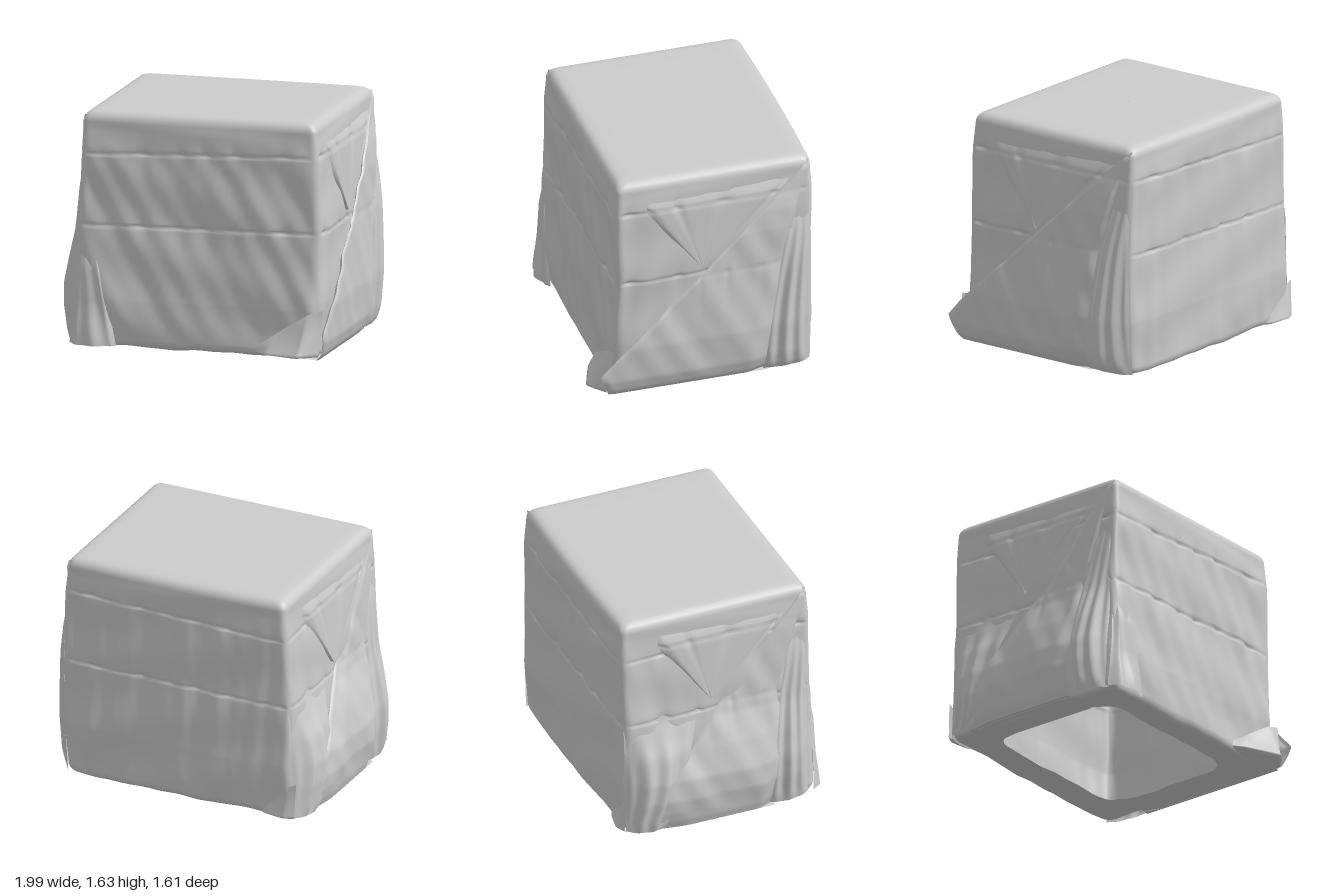
import * as THREE from 'three';

const { sin, exp, abs, min, max, PI } = Math;
const mat = new THREE.MeshStandardMaterial({ color: 0xcccccc, side: THREE.DoubleSide });
const lerp = THREE.MathUtils.lerp;
const step = THREE.MathUtils.smoothstep;

// Piecewise linear lookup in [[key, value], ...]
function at(table, k) {
  if (k <= table[0][0]) return table[0][1];
  for (let i = 1; i < table.length; i++) {
    const [k0, v0] = table[i - 1], [k1, v1] = table[i];
    if (k <= k1) return lerp(v0, v1, (k - k0) / (k1 - k0));
  }
  return table[table.length - 1][1];
}

// Surface from a grid of points fn(u, v); closed wraps u around
function sheet(name, nu, nv, fn, closed = false) {
  const pos = [], idx = [], w = closed ? nu : nu + 1;
  for (let j = 0; j <= nv; j++)
    for (let i = 0; i < w; i++) pos.push(...fn(i / nu, j / nv, i, j));
  for (let j = 0; j < nv; j++)
    for (let i = 0; i < nu; i++) {
      const a = j * w + i, b = j * w + ((i + 1) % w), c = a + w, d = b + w;
      idx.push(a, c, b, b, c, d);
    }
  const g = new THREE.BufferGeometry();
  g.setAttribute('position', new THREE.Float32BufferAttribute(pos, 3));
  g.setIndex(idx);
  g.computeVertexNormals();
  const m = new THREE.Mesh(g, mat);
  m.name = name;
  return m;
}

// Soft irregular cloth ridges
const folds = (w) => 0.5 * sin(w * 9 + 1.3 * sin(w * 4)) + 0.3 * sin(w * 17 + 2 + sin(w * 7)) + 0.2 * sin(w * 31 + 1);

// Two cords cinch the cloth: a tight groove, with gathers fanning out mostly below it
function cinch(a, x, y) {
  let d = 0;
  for (const line of [1.375 + 0.035 * x, 0.865 + 0.015 * x]) {
    const k = y - line;
    const gather = max(0, sin(a * 23 + 2 * sin(a * 5))) ** 3;
    d -= (0.009 + 0.006 * gather) * exp(-((k / 0.008) ** 2)) + 0.014 * gather * exp(-abs(k) / (k < 0 ? 0.13 : 0.05));
  }
  return d;
}

// Cloth body extents by height
const xMax = [[0, 0.87], [0.4, 0.9], [0.9, 0.905], [1.4, 0.88], [1.62, 0.86]];
const xMin = [[0, -0.87], [0.4, -0.845], [0.9, -0.83], [1.35, -0.8], [1.62, -0.785]];
const zMax = [[0, 0.64], [0.35, 0.645], [0.85, 0.625], [1.4, 0.62], [1.62, 0.605]];
const zMin = [[0, -0.765], [0.4, -0.785], [0.9, -0.775], [1.4, -0.78], [1.62, -0.77]];

function body() {
  // Profile of [inset, height, scale]: hem under the box, walls, rounded top
  const rows = [[0.21, 0.035, 1], [0.15, 0.03, 1], [0.08, 0.022, 1], [0.04, 0.02, 1], [0.015, 0.03, 1], [0.004, 0.05, 1]];
  for (let i = 0; i <= 124; i++) rows.push([0, 0.07 + (1.51 * i) / 124, 1]);
  rows.push([0.004, 1.598, 1], [0.014, 1.616, 1], [0.03, 1.63, 1], [0.055, 1.638, 1], [0.1, 1.641, 1]);
  for (const s of [0.85, 0.7, 0.5, 0.3, 0.1, 0.001]) rows.push([0.1, 1.642, s]);
  const N = 240;
  return sheet('clothCover', N, rows.length - 1, (u, v, i, j) => {
    const [inset, y, scale] = rows[j];
    const x0 = at(xMin, y), x1 = at(xMax, y), z0 = at(zMin, y), z1 = at(zMax, y);
    const hx = scale * ((x1 - x0) / 2 - inset), hz = scale * ((z1 - z0) / 2 - inset);
    const k = Math.floor((i * 4) / N), t = sin((((i % (N / 4)) / (N / 4)) * 2 - 1) * PI / 2);
    const [px, pz] = [[t * hx, hz], [hx, -t * hz], [-t * hx, -hz], [-hx, t * hz]][k];
    // Round the corner, softer low down and widest along the hem
    const hem = y < 0.06 ? 0.5 * inset : 0;
    const r = min(0.045 + 0.03 * (1 - step(y, 0.8, 1.4)) + hem, hx, hz);
    const qx = THREE.MathUtils.clamp(px, r - hx, hx - r), qz = THREE.MathUtils.clamp(pz, r - hz, hz - r);
    const len = Math.hypot(px - qx, pz - qz) || 1;
    const nx = (px - qx) / len, nz = (pz - qz) / len;
    const a = k % 2 ? pz : px;
    // Slanted folds at the front, hanging folds at the back, calmer ends
    const slant = k === 0 ? a + 0.6 * y : k === 2 ? a * 1.5 + 0.15 * y : a + 0.2 * y + 3;
    const flat = 1 - step(abs(t), 0.88, 1);
    const wall = step(y, 0.04, 0.25) * (1 - step(y, 1.25, 1.5)) * flat;
    const wobble = flat * 0.005 * sin(y * 13 + a * 4) * (1 - step(y, 1.5, 1.6));
    const bow = k === 2 ? 0.015 * (1 - t * t) : 0;
    const d = ((k % 2 ? 0.008 : 0.014) * wall * folds(slant) + cinch(a, px, y) * flat + wobble + bow) * (1 - step(inset, 0, 0.1));
    const sag = y < 0.2 ? 0.01 * folds(a * 0.8) * (1 - y / 0.2) * flat : 0;
    return [(x0 + x1) / 2 + qx + nx * (r + d), y + sag, (z0 + z1) / 2 + qz + nz * (r + d)];
  }, true);
}

// Wrapped end: folded triangles and pleats. tuck pulls the leading flap edge inward.
function wrappedEnd(name, { dir, outer, inner, diagonal, tuck, hem, mapZ }) {
  const g = new THREE.Group();
  g.name = name;
  const put = (x, y, z) => [dir * x, y, mapZ(z)];
  const rear = [[0.02, -0.45], [0.4, -0.49], [0.85, -0.56], [1.35, -0.67], [1.61, -0.76]];

  // Large flap below the diagonal, doubled over along that fold
  const flap = (label, depth) => g.add(sheet(label, 60, 90, (u, v) => {
    const y = lerp(0.02, 1.61, v);
    const z = lerp(at(diagonal, y), at(rear, y), u);
    const narrow = 1 - step(v, 0.6, 1);
    const edge = 0.04 * step(u, 0.85, 1) * narrow + 0.012 * (1 - step(u, 0, 0.03)) + tuck * (1 - step(u, 0, 0.3)) * narrow;
    const bulge = 0.012 * folds(z * 0.9 - 0.5 * y) * narrow * step(v, 0, 0.15);
    const under = depth * (at(outer, y) - at(inner, y)) * step(u, 0, 0.08) * (1 - step(u, 0.8, 1));
    return put(at(outer, y) - edge - under + bulge + 0.6 * cinch(z, 0.9, y), y, z);
  }));
  flap('diagonalFlap', 0);
  flap('flapLining', 0.5);
  // Hem of the flap turned under the bottom
  g.add(sheet('flapHem', 30, 5, (u, v) =>
    put(at(outer, 0.02) - tuck * (1 - step(u, 0, 0.3)) - hem * v, 0.02 + 0.008 * sin(v * PI), lerp(diagonal[0][1], -0.45, u))));

  // Upper fold hanging from the top edge
  g.add(sheet('upperFold', 40, 40, (u, v) => {
    const y = lerp(0.94, 1.59, v);
    const front = at([[0.94, 0.03], [1.4, 0.42], [1.59, 0.54]], y);
    const edge = 0.026 * (1 - step(u, 0, 0.05)) + 0.045 * step(v, 0.7, 1);
    return put(at(inner, y) + 0.02 - edge + cinch(u, 0.9, y), y, lerp(front, lerp(0, -0.72, v), u));
  }));

  // Gathered pleats from zA to zB, merging into the wall at the top
  const gathers = (label, zA, zB, top, count) => g.add(sheet(label, 60, 40, (u, v) => {
    const y = lerp(0.03, top, v);
    const z = lerp(at(zA, y), zB, u);
    const fade = step(v, -0.03, 0.08) * (1 - step(v, 0.45, 1));
    const swell = 0.9 * (at(outer, y) - at(inner, y)) * sin(PI * min(1, u * 0.8 + 0.2));
    const pleat = 0.013 * sin(u * count * 2 * PI + 1.5 * sin(v * 4)) * fade * (1 - step(u, 0.85, 1));
    return put(at(inner, y) + swell * (1 - step(v, 0.6, 1)) + pleat - 0.02 * step(v, 0.8, 1) - 0.02 * step(u, 0.85, 1), y, z);
  }));
  gathers('rearPleats', rear.map(([y, z]) => [y, z + 0.03]), -0.765, 1.35, 3);
  // Slack cloth beyond a flap that stops short of the corner
  if (diagonal[0][1] < 0.6) gathers('slackPleats', [[0, 0.42], [0.9, 0.1]], 0.71, 0.9, 3);
  return g;
}

// Loose pointed cloth corner at the foot of the wall
function cornerFold(name, place) {
  const curve = (...p) => new THREE.CatmullRomCurve3(p.map((q) => new THREE.Vector3(...q)), false, 'catmullrom', 0.15);
  const upper = curve([0.44, 0.08, 0.635], [0.62, 0.2, 0.655], [0.81, 0.32, 0.66], [0.93, 0.36, 0.65]);
  const lower = curve([0.44, 0.05, 0.64], [0.53, 0.045, 0.71], [0.78, 0.05, 0.8], [0.91, 0.05, 0.7]);
  const under = curve([0.46, 0.03, 0.6], [0.6, 0.02, 0.6], [0.78, 0.015, 0.6], [0.9, 0.03, 0.6]);
  return sheet(name, 24, 20, (u, v) => {
    const p = v < 0.7
      ? upper.getPoint(u).lerp(lower.getPoint(u), v / 0.7)
      : lower.getPoint(u).lerp(under.getPoint(u), (v - 0.7) / 0.3);
    const b = sin(min(1, v / 0.7) * PI) * sin(u * PI);
    return place(p.x, p.y, p.z + 0.015 * b * sin(u * 9));
  });
}

export function createModel() {
  const model = new THREE.Group();
  model.name = 'wrappedCrate';
  model.add(body());

  model.add(wrappedEnd('leftEnd', {
    dir: 1, inner: xMax, tuck: 0, hem: 0.2, mapZ: (z) => z,
    outer: [[0.02, 0.9], [0.06, 0.94], [0.15, 0.97], [0.4, 0.985], [0.9, 0.955], [1.15, 0.945], [1.3, 0.925], [1.42, 0.895], [1.56, 0.875], [1.61, 0.845]],
    diagonal: [[0.02, 0.68], [0.2, 0.75], [0.34, 0.62], [1.61, -0.75]],
  }));
  model.add(wrappedEnd('rightEnd', {
    dir: -1, inner: xMin.map(([y, x]) => [y, -x]), tuck: 0.03, hem: 0.26, mapZ: (z) => -0.92 * z - 0.11,
    outer: [[0.02, 0.93], [0.08, 0.95], [0.25, 0.98], [0.4, 0.98], [0.6, 0.93], [0.8, 0.865], [0.9, 0.85], [1.35, 0.82], [1.56, 0.797], [1.61, 0.77]],
    diagonal: [[0.02, 0.5], [0.15, 0.57], [0.9, -0.07], [1.61, -0.75]],
  }));

  model.add(cornerFold('frontCornerFold', (x, y, z) => [x, y, z]));
  model.add(cornerFold('backCornerFold', (x, y, z) => [-0.36 - 0.55 * x, 0.8 * y, -0.3 * z - 0.57]));

  // Draped fold over the other front corner
  model.add(sheet('frontDrape', 30, 40, (u, v) => {
    const y = lerp(0.03, 0.84, v);
    const x = lerp(at([[0.03, -0.88], [0.84, -0.8]], y), at([[0.03, -0.54], [0.84, -0.71]], y), u);
    const z = at(zMax, y) + 0.014 - 0.04 * step(v, 0.6, 1) + 0.05 * (1 - step(v, 0, 0.4)) * sin(PI * u)
      + 0.008 * sin(u * 14 + v * 3) * (1 - v) - 0.045 * (1 - step(u, 0, 0.2)) - 0.02 * step(u, 0.9, 1);
    return [x, y, z];
  }));
  return model;
}
